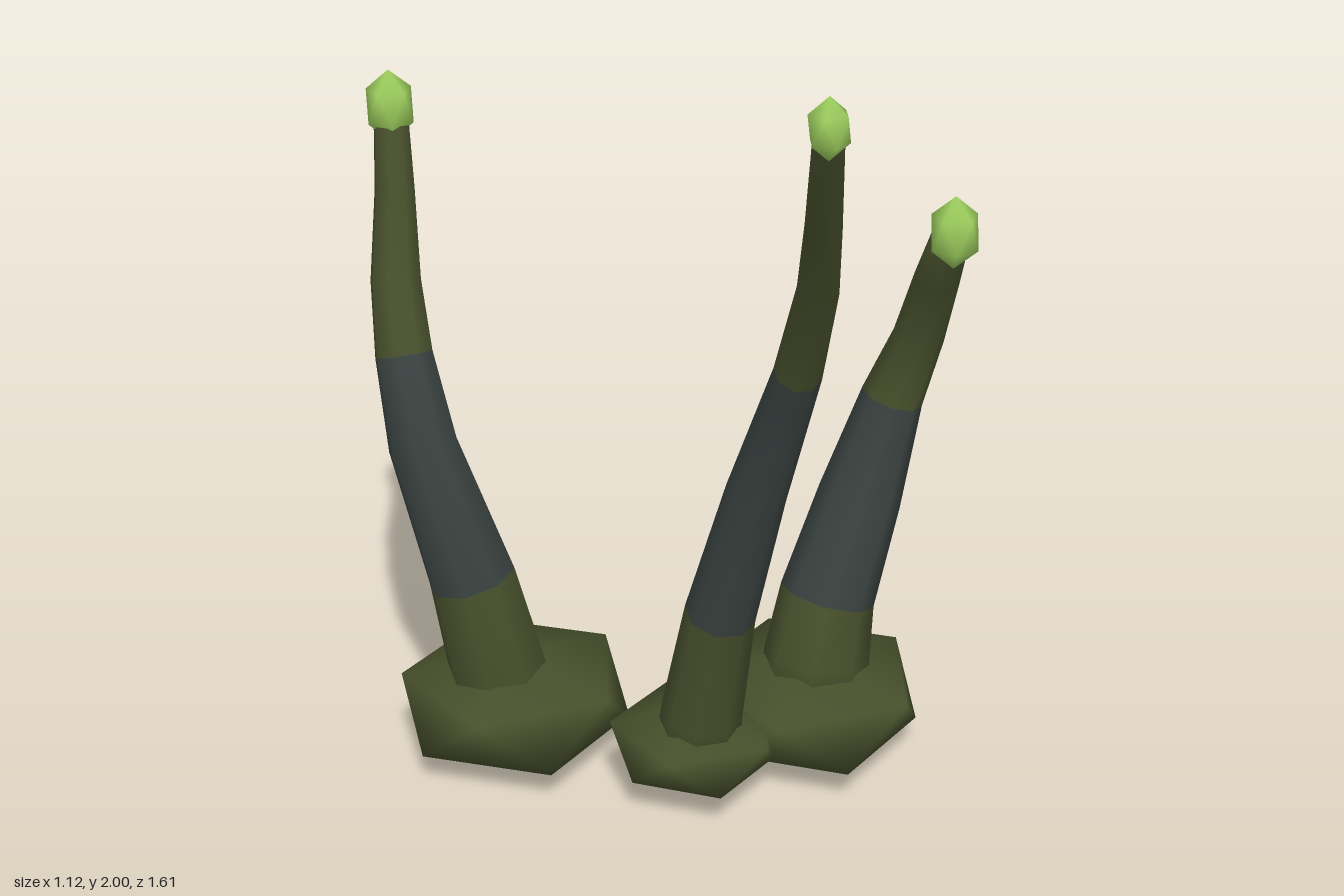
import * as THREE from 'three';

const mat = (name, color) => new THREE.MeshStandardMaterial({ name, color });

function meshOf(name, positions, index, material) {
  const geo = new THREE.BufferGeometry();
  geo.setAttribute('position', new THREE.Float32BufferAttribute(positions, 3));
  geo.setIndex(index);
  geo.computeVertexNormals();
  const mesh = new THREE.Mesh(geo, material);
  mesh.name = name;
  return mesh;
}

// Smooth twenty-sided lump: two poles and two staggered rings of five
function lump(name, { c, upper, lower, ringY, top, bottom, turn }, material) {
  const p = [c[0], c[1] + top, c[2]];
  for (const [r, y, offset] of [[upper, ringY, 0], [lower, -ringY, 36]]) {
    for (let k = 0; k < 5; k++) {
      const a = THREE.MathUtils.degToRad(turn + offset + k * 72);
      p.push(c[0] + r * Math.cos(a), c[1] + y, c[2] + r * Math.sin(a));
    }
  }
  p.push(c[0], c[1] - bottom, c[2]);
  const index = [];
  for (let k = 0; k < 5; k++) {
    const n = (k + 1) % 5;
    const u = 1 + k, u2 = 1 + n, l = 6 + k, l2 = 6 + n;
    index.push(0, u2, u, u, u2, l, l, u2, l2, 11, l, l2);
  }
  return meshOf(name, p, index, material);
}

// Tapered bent tube through [x, y, z, radius] rings, with a dark band between two rings
function stalk(path, bandStart, bandEnd, materials) {
  const sides = 8, p = [], index = [];
  const pts = path.map(([x, y, z]) => new THREE.Vector3(x, y, z));
  pts.forEach((pt, i) => {
    const t = pts[Math.min(i + 1, pts.length - 1)].clone().sub(pts[Math.max(i - 1, 0)]).normalize();
    const u = new THREE.Vector3(1, 0, 0).addScaledVector(t, -t.x).normalize();
    const v = t.clone().cross(u);
    for (let s = 0; s < sides; s++) {
      const a = (s / sides) * Math.PI * 2, r = path[i][3];
      const q = pt.clone().addScaledVector(u, r * Math.cos(a)).addScaledVector(v, r * Math.sin(a));
      p.push(q.x, q.y, q.z);
    }
  });
  for (let i = 0; i < pts.length - 1; i++) {
    for (let s = 0; s < sides; s++) {
      const a = i * sides + s, b = i * sides + (s + 1) % sides;
      index.push(a, b, b + sides, a, b + sides, a + sides);
    }
  }
  // End caps
  const last = (pts.length - 1) * sides;
  for (let s = 1; s < sides - 1; s++) index.push(0, s + 1, s, last, last + s, last + s + 1);

  const mesh = meshOf('stalk', p, index, materials);
  const per = sides * 6;
  mesh.geometry.addGroup(0, bandStart * per, 0);
  mesh.geometry.addGroup(bandStart * per, (bandEnd - bandStart) * per, 1);
  mesh.geometry.addGroup(bandEnd * per, index.length - bandEnd * per, 0);
  return mesh;
}

export function createModel() {
  const olive = mat('olive', 0x47502c);
  const slate = mat('slate', 0x3a4341);
  const lime = mat('lime', 0x9fd05f);

  const plants = [
    {
      name: 'shortPlant',
      root: { c: [0.265, 0.152, 0.015], upper: 0.28, lower: 0.265, ringY: 0.066, top: 0.145, bottom: 0.15, turn: 2 },
      path: [
        [0.26, 0.12, 0.03, 0.135], [0.28, 0.27, 0.027, 0.128], [0.315, 0.42, 0.022, 0.115],
        [0.405, 0.66, 0.03, 0.1], [0.478, 0.91, 0.055, 0.074], [0.5, 1.08, 0.115, 0.06],
        [0.47, 1.26, 0.2, 0.052], [0.42, 1.4, 0.29, 0.043],
      ],
      band: [2, 4],
      bud: { c: [0.415, 1.41, 0.305], size: 0.085, r: 0.054, turn: 20 },
    },
    {
      name: 'tallPlant',
      root: { c: [-0.065, 0.145, -0.01], upper: 0.205, lower: 0.185, ringY: 0.05, top: 0.11, bottom: 0.115, turn: 3 },
      path: [
        [-0.08, 0.1, 0.01, 0.105], [-0.08, 0.25, 0.03, 0.096], [-0.09, 0.55, 0.11, 0.082],
        [-0.082, 0.9, 0.225, 0.068], [-0.11, 1.25, 0.39, 0.052], [-0.182, 1.5, 0.53, 0.043],
        [-0.255, 1.68, 0.625, 0.037], [-0.37, 1.93, 0.765, 0.03],
      ],
      band: [2, 4],
      bud: { c: [-0.372, 1.938, 0.767], size: 0.062, r: 0.04, turn: 0 },
    },
    {
      name: 'middlePlant',
      root: { c: [-0.285, 0.153, -0.44], upper: 0.275, lower: 0.275, ringY: 0.068, top: 0.13, bottom: 0.125, turn: 0 },
      path: [
        [-0.31, 0.1, -0.44, 0.125], [-0.33, 0.25, -0.45, 0.12], [-0.377, 0.5, -0.47, 0.106],
        [-0.448, 0.84, -0.545, 0.083], [-0.438, 1.04, -0.622, 0.069], [-0.41, 1.2, -0.685, 0.06],
        [-0.365, 1.4, -0.74, 0.047], [-0.355, 1.58, -0.755, 0.04],
      ],
      band: [2, 4],
      bud: { c: [-0.356, 1.592, -0.756], size: 0.085, r: 0.054, turn: 10 },
    },
  ];

  const model = new THREE.Group();
  model.name = 'stalkCluster';
  for (const { name, root, path, band, bud } of plants) {
    const plant = new THREE.Group();
    plant.name = name;
    plant.add(lump('root', root, olive));
    plant.add(stalk(path, band[0], band[1], [olive, slate]));
    // Glowing tip
    plant.add(lump('bud', {
      c: bud.c, upper: bud.r, lower: bud.r, ringY: bud.size * 0.447,
      top: bud.size, bottom: bud.size, turn: bud.turn,
    }, lime));
    model.add(plant);
  }
  return model;
}
